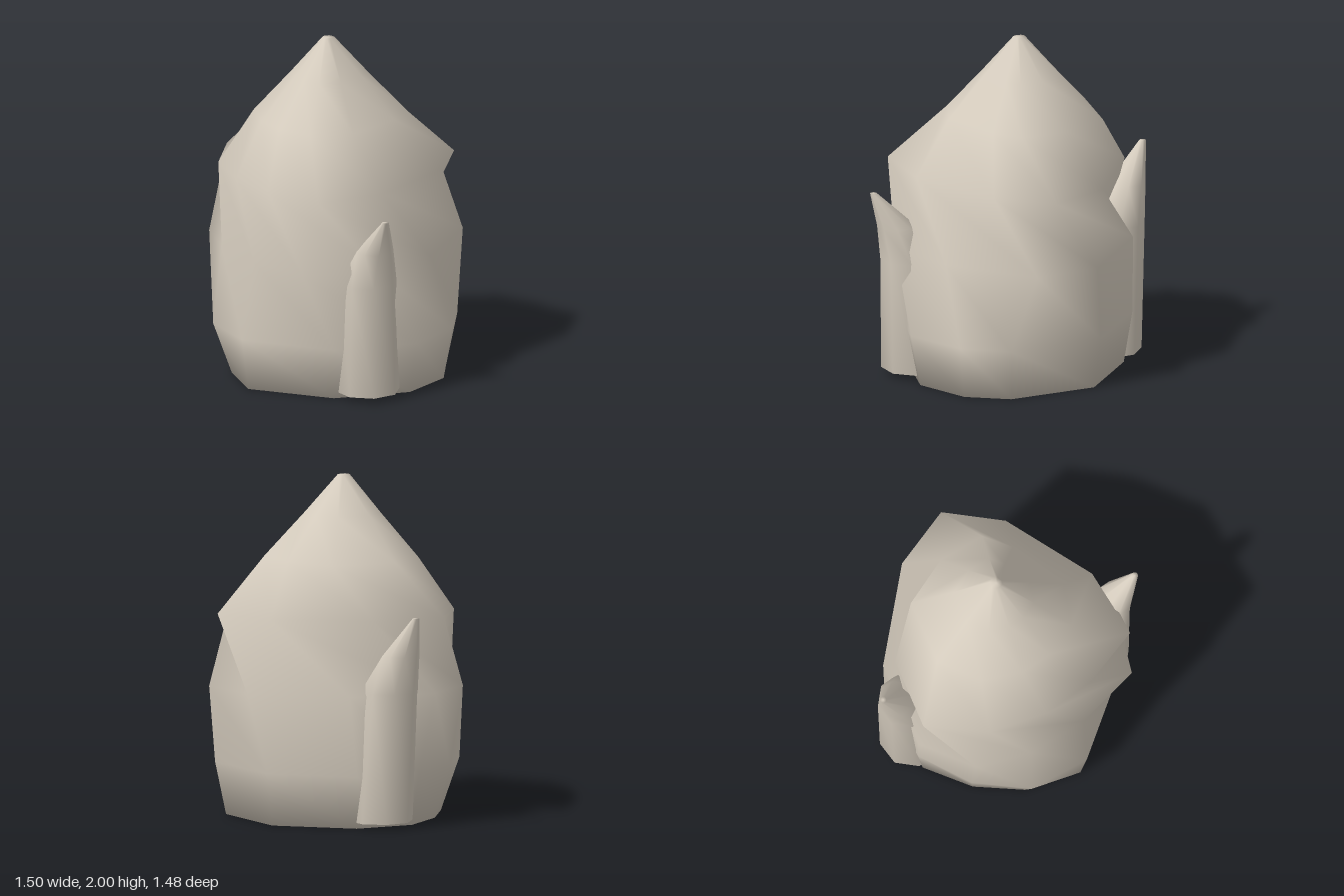
import * as THREE from 'three';

// Smooth closed skin over rings of [x, y, z] points, listed from bottom to top
function loft(rings) {
  const n = rings[0].length, last = (rings.length - 1) * n;
  const points = rings.flat(), index = [];
  for (let i = 0; i < rings.length - 1; i++) {
    for (let j = 0; j < n; j++) {
      // Splitting along the long diagonal leaves hollows between twisted rings
      const a = i * n + j, b = i * n + (j + 1) % n;
      index.push(a, b + n, b, a, a + n, b + n);
    }
  }
  // Caps fan out from the middle of the first and last ring
  const middle = (ring) => [0, 1, 2].map((k) => ring.reduce((s, p) => s + p[k], 0) / n);
  const bottom = points.push(middle(rings[0])) - 1;
  const top = points.push(middle(rings[rings.length - 1])) - 1;
  for (let j = 0; j < n; j++) {
    const k = (j + 1) % n;
    index.push(bottom, j, k, top, last + k, last + j);
  }
  const geometry = new THREE.BufferGeometry();
  geometry.setAttribute('position', new THREE.Float32BufferAttribute(points.flat(), 3));
  geometry.setIndex(index);
  geometry.computeVertexNormals();
  return geometry;
}

// Leaning spike from sections [centre x, y, centre z, radius]
function spike(sections, sides = 8) {
  return loft(sections.map(([x, y, z, r]) => Array.from({ length: sides }, (_, j) => {
    const a = (j / sides) * Math.PI * 2;
    return [x + r * Math.cos(a), y, z + r * Math.sin(a)];
  })));
}

export function createModel() {
  const stone = new THREE.MeshStandardMaterial({ color: 0xd4cbbd });
  stone.name = 'stone';
  const model = new THREE.Group();
  model.name = 'rock';
  const add = (name, geometry) => {
    const mesh = new THREE.Mesh(geometry, stone);
    mesh.name = name;
    model.add(mesh);
  };

  // Irregular outlines of the boulder as [x, z], each twisted against the next
  const base = [[.56, -.4], [.7, -.16], [.69, .18], [.39, .53], [-.13, .65],
    [-.39, .43], [-.53, .16], [-.58, -.15], [-.4, -.46], [.08, -.63]];
  const foot = [[.61, -.44], [.75, -.17], [.75, .2], [.42, .58], [-.14, .7],
    [-.46, .52], [-.61, .2], [-.63, -.15], [-.43, -.5], [.08, -.68]];
  const waist = [[.55, -.59], [.7, -.02], [.63, .42], [.31, .735], [-.09, .65],
    [-.42, .49], [-.66, .26], [-.71, -.1], [-.4, -.53], [.18, -.74]];
  const shoulder = [[.6, -.3], [.58, .3], [.38, .68], [0, .64], [-.3, .52],
    [-.57, .3], [-.74, -.05], [-.48, -.4], [.06, -.68], [.45, -.65]];
  const crown = [[.385, -.12], [.34, .25], [.15, .42], [-.07, .41], [-.25, .33],
    [-.42, .15], [-.45, -.13], [-.22, -.45], [.1, -.44], [.35, -.31]];
  const ring = (outline, y, s = 1) => outline.map(([x, z]) => [x * s, y, z * s]);
  add('boulder', loft([
    ring(base, 0), ring(foot, .31), ring(waist, .78), ring(shoulder, 1.22),
    ring(crown, 1.53), ring(crown, 1.78, .5), ring(crown, 2, .08),
  ]));

  // Spikes leaning out of the boulder's sides
  add('leftSpike', spike([
    [.52, .035, .37, .19], [.535, .7, .39, .17], [.61, .91, .43, .11], [.73, 1.12, .5, .02],
  ]));
  add('rightSpike', spike([
    [-.46, .035, -.3, .19], [-.52, .8, -.3, .17], [-.61, 1.02, -.31, .11], [-.73, 1.25, -.33, .02],
  ]));
  return model;
}
